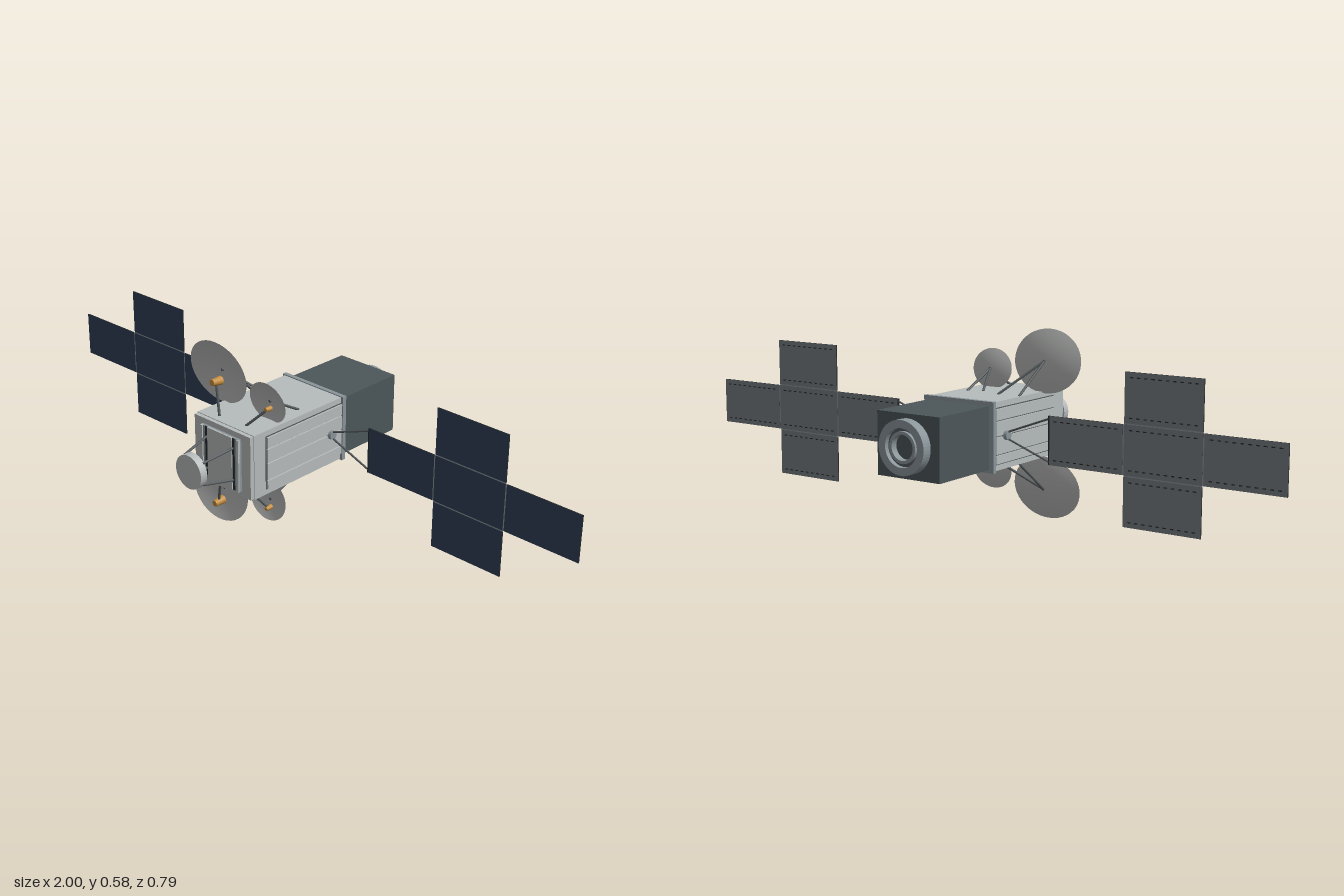
import * as THREE from 'three';

const mat = (name, color, side = THREE.FrontSide) => {
  const m = new THREE.MeshStandardMaterial({ color, side });
  m.name = name;
  return m;
};

export function createModel() {
  const hull = mat('hull grey', 0xb6bbbb);
  const trim = mat('trim grey', 0x8a959a);
  const module = mat('dark module', 0x4c5659);
  const strutMat = mat('strut grey', 0x555b5e);
  const dark = mat('dark edge', 0x24282b);
  const dishMat = mat('dish silver', 0xb2b4b2, THREE.DoubleSide);
  const gold = mat('feed gold', 0xc48d3e);
  const cell = mat('solar blue', 0x2d3d54);
  const panelBack = mat('panel back grey', 0x737b80);

  const model = new THREE.Group();
  model.name = 'satellite';
  const CY = 0.297; // height of the main axis
  const Z = new THREE.Vector3(0, 0, 1);
  const Y = new THREE.Vector3(0, 1, 0);

  function add(name, geometry, material, x = 0, y = 0, z = 0, parent = model) {
    const mesh = new THREE.Mesh(geometry, material);
    mesh.name = name;
    mesh.position.set(x, y, z);
    parent.add(mesh);
    return mesh;
  }
  const box = (name, w, h, d, material, x, y, z, parent) =>
    add(name, new THREE.BoxGeometry(w, h, d), material, x, y, z, parent);

  // Round bar between two points
  function strut(name, a, b, r, parent = model, material = strutMat) {
    const p = new THREE.Vector3(...a), q = new THREE.Vector3(...b);
    const bar = add(name, new THREE.CylinderGeometry(r, r, p.distanceTo(q), 8), material, 0, 0, 0, parent);
    bar.position.copy(p).add(q).multiplyScalar(0.5);
    bar.quaternion.setFromUnitVectors(Y, q.sub(p).normalize());
    return bar;
  }

  // Solid of revolution about z; profile is [radius, z]
  const turned = (profile, n = 32) =>
    new THREE.LatheGeometry(profile.map(([r, z]) => new THREE.Vector2(r, z)), n).rotateX(Math.PI / 2);

  // Ring extruded along z
  function ring(outer, inner, depth) {
    const s = new THREE.Shape().absarc(0, 0, outer, 0, Math.PI * 2);
    s.holes.push(new THREE.Path().absarc(0, 0, inner, 0, Math.PI * 2, true));
    return new THREE.ExtrudeGeometry(s, { depth, bevelEnabled: false, curveSegments: 24 });
  }

  // Main body
  box('body', 0.232, 0.202, 0.37, hull, 0, CY, 0.065);
  box('frontCap', 0.228, 0.198, 0.014, hull, 0, CY, 0.256);
  box('frontPlate', 0.156, 0.164, 0.01, trim, 0, CY, 0.267);
  box('frontPanel', 0.1, 0.164, 0.006, hull, 0, CY, 0.272);
  box('rearFlange', 0.248, 0.208, 0.014, trim, 0, CY, -0.117);
  box('rearModule', 0.218, 0.186, 0.237, module, 0, CY - 0.001, -0.242);
  for (const s of [-1, 1]) {
    box('frontRail', 0.008, 0.164, 0.008, hull, s * 0.074, CY, 0.272);
    box('frontSlot', 0.008, 0.164, 0.003, dark, s * 0.056, CY, 0.2725);
  }

  // Side radiators: raised slats on a dark backing
  const seams = [0.215, 0.243, 0.297, 0.343, 0.38];
  for (const s of [-1, 1]) {
    box('radiatorBacking', 0.002, 0.168, 0.316, strutMat, s * 0.1165, CY, 0.047);
    for (let i = 0; i < 4; i++) {
      const h = seams[i + 1] - seams[i] - 0.004;
      box('radiatorSlat', 0.007, h, 0.31, hull, s * 0.1195, (seams[i] + seams[i + 1]) / 2, 0.047);
    }
  }

  // Rear engine ring
  add('engineRing', ring(0.079, 0.056, 0.034), trim, 0, CY, -0.393);
  add('engineInnerWall', ring(0.056, 0.046, 0.016), strutMat, 0, CY, -0.378);
  add('engineInnerRing', ring(0.046, 0.037, 0.026), trim, 0, CY, -0.388);
  add('engineFloor', new THREE.CylinderGeometry(0.04, 0.04, 0.006, 32).rotateX(Math.PI / 2), module, 0, CY, -0.363);

  // Front instrument drum on four legs
  add('frontDrum', new THREE.CylinderGeometry(0.052, 0.052, 0.024, 32).rotateX(Math.PI / 2), hull, 0, CY, 0.383);
  for (const sx of [-1, 1]) for (const sy of [-1, 1])
    strut('drumLeg', [sx * 0.055, CY + sy * 0.051, 0.27], [sx * 0.038, CY + sy * 0.034, 0.374], 0.0038);

  // Elliptical dishes with feed horns; sy = 1 above, -1 below
  function antenna(sy, d) {
    const g = new THREE.Group();
    g.name = d.name;
    model.add(g);
    const at = ([x, y, z]) => [x, CY + sy * y, z];
    const profile = [];
    for (let i = 0; i <= 8; i++) profile.push([d.rx * i / 8, d.depth * (i / 8) ** 2]);
    const geo = turned(profile, 40).scale(1, d.ry / d.rx, 1);
    const dish = add('reflector', geo, dishMat, ...at(d.center), g);
    dish.rotation.x = sy * 0.115;
    const stud = new THREE.CylinderGeometry(0.004, 0.004, 0.008, 10).rotateX(Math.PI / 2);
    add('reflectorStud', stud, strutMat, ...at(d.center), g);
    for (const foot of d.feet) strut('reflectorStrut', at(foot), at(d.center), 0.0038, g);
    strut('feedStrut', at(d.feedFoot), at(d.feed), 0.004, g);
    const horn = add('feedHorn', new THREE.CylinderGeometry(d.horn * 0.7, d.horn, d.hornLength, 20), gold, ...at(d.feed), g);
    horn.rotation.x = Math.PI / 2 - sy * 0.08;
  }
  for (const sy of [1, -1]) {
    antenna(sy, {
      name: 'largeAntenna', rx: 0.117, ry: 0.097, depth: 0.018, center: [-0.127, 0.195, 0.137],
      feet: [[-0.035, 0.1, 0.025], [-0.108, 0.1, 0.03]],
      feedFoot: [-0.05, 0.1, 0.225], feed: [-0.077, 0.195, 0.21], horn: 0.0135, hornLength: 0.035,
    });
    antenna(sy, {
      name: 'smallAntenna', rx: 0.071, ry: 0.062, depth: 0.012, center: [0.07, 0.158, 0.138],
      feet: [[0.082, 0.1, 0.035], [0.035, 0.1, 0.05]],
      feedFoot: [0.05, 0.1, 0.217], feed: [0.104, 0.158, 0.182], horn: 0.008, hornLength: 0.021,
    });
  }

  // Solar wings: a cross of five panels on a forked yoke
  const PW = 0.24, PH = 0.142, wz = -0.06;
  const panelMaterials = [dark, dark, dark, dark, cell, panelBack];
  const layout = [[0.392, 0], [0.636, 0], [0.88, 0], [0.636, 0.146], [0.636, -0.146]];
  for (const s of [-1, 1]) {
    const wing = new THREE.Group();
    wing.name = s > 0 ? 'leftWing' : 'rightWing';
    model.add(wing);
    for (const [px, py] of layout) {
      box('solarPanel', PW, PH, 0.004, panelMaterials, s * px, CY + py, wz, wing);
      // dashed fittings along the back edges
      for (const e of [-1, 1]) for (let i = 0; i < 10; i++)
        box('backFitting', 0.01, 0.003, 0.002, dark, s * px + (i - 4.5) * 0.022, CY + py + e * 0.056, wz - 0.0025, wing);
    }
    for (const x of [0.514, 0.758]) box('panelHinge', 0.004, PH, 0.003, trim, s * x, CY, wz, wing);
    for (const e of [-1, 1]) {
      box('panelHinge', PW, 0.004, 0.003, trim, s * 0.636, CY + e * 0.073, wz, wing);
      strut('yokeArm', [s * 0.125, CY + e * 0.008, wz], [s * 0.273, CY + e * 0.063, wz], 0.003, wing);
    }
    box('yokeBar', 0.004, PH, 0.005, dark, s * 0.272, CY, wz, wing);
    const hub = add('wingHub', new THREE.CylinderGeometry(0.014, 0.014, 0.02, 8), trim, s * 0.124, CY, wz, wing);
    hub.rotation.z = Math.PI / 2;
  }
  return model;
}
